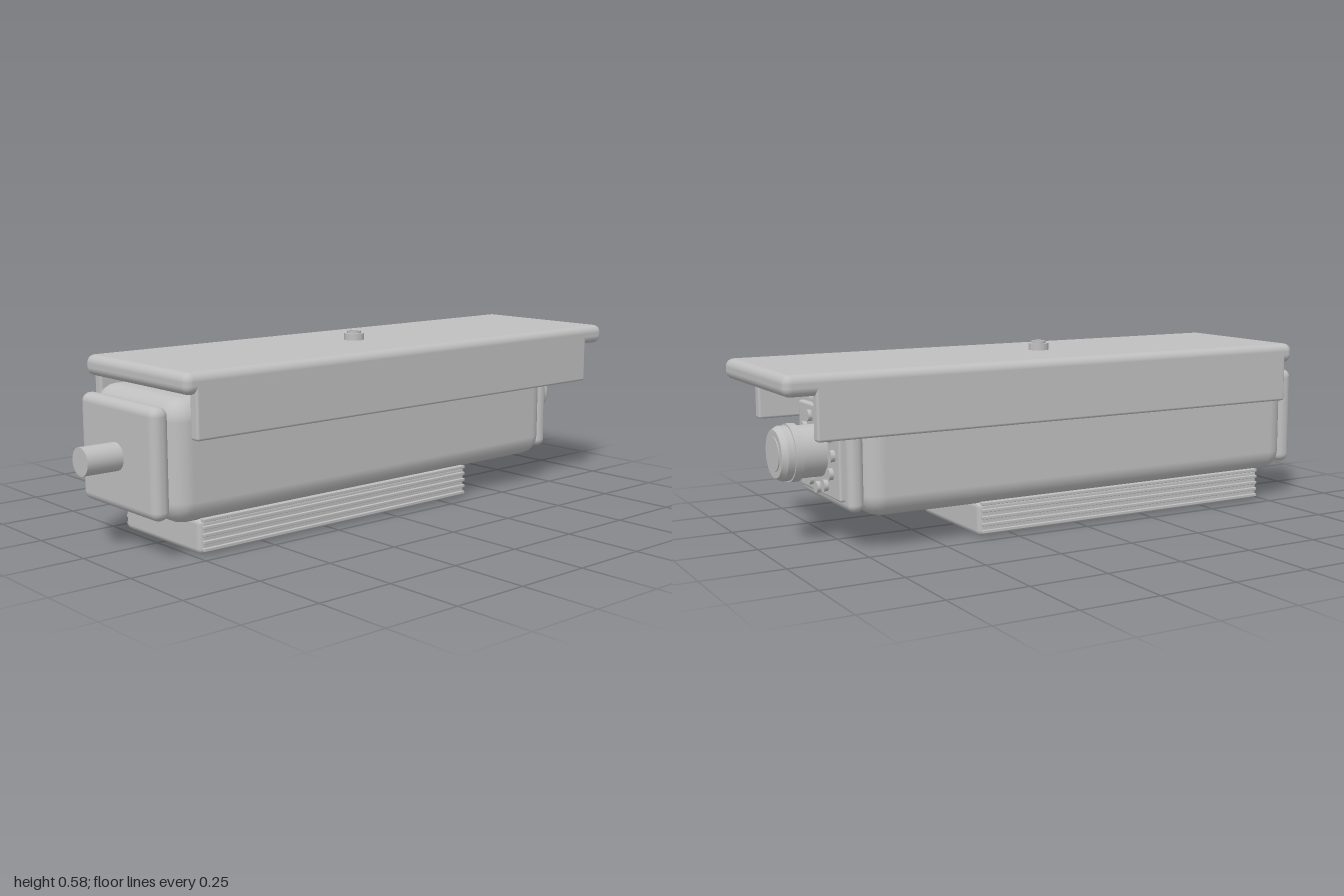
import * as THREE from 'three';
import { RoundedBoxGeometry } from 'three/addons/geometries/RoundedBoxGeometry.js';

const grey = new THREE.MeshStandardMaterial({ color: 0xbfbfbf });
grey.name = 'grey';

export function createModel() {
  const model = new THREE.Group();
  model.name = 'securityCamera';

  const add = (name, geometry) => {
    const mesh = new THREE.Mesh(geometry, grey);
    mesh.name = name;
    model.add(mesh);
    return mesh;
  };
  // rounded box given by its [min, max] range on each axis
  const box = (name, [x0, x1], [y0, y1], [z0, z1], radius, segments = 3) => {
    const g = new RoundedBoxGeometry(x1 - x0, y1 - y0, z1 - z0, segments, radius);
    g.translate((x0 + x1) / 2, (y0 + y1) / 2, (z0 + z1) / 2);
    return add(name, g);
  };
  // cylinder along z
  const rod = (name, radius, z0, z1, x = 0, y = 0.283, sides = 32) => {
    const g = new THREE.CylinderGeometry(radius, radius, z1 - z0, sides);
    g.rotateX(Math.PI / 2).translate(x, y, (z0 + z1) / 2);
    return add(name, g);
  };

  // housing with its end plates
  box('housing', [-0.226, 0.226], [0.1, 0.468], [-0.745, 0.835], 0.067);
  box('frontPlate', [-0.2, 0.2], [0.12, 0.447], [0.825, 0.883], 0.027);
  box('backPlate', [-0.2, 0.2], [0.12, 0.447], [-0.786, -0.735], 0.024);
  box('backPanel', [-0.165, 0.165], [0.15, 0.417], [-0.802, -0.77], 0.008, 2);
  rod('cableStub', 0.0425, 0.87, 1.0, 0, 0.283, 24);

  // sunshield: roof and two hanging sides
  box('roof', [-0.272, 0.272], [0.483, 0.547], [-1.0, 0.82], 0.026);
  for (const s of [-1, 1]) {
    const side = box('roofSide', [-0.018, 0.018], [0.353, 0.515], [-0.905, 0.785], 0.008, 2);
    side.position.x = s * 0.254;
  }

  // roof screw with a hollow collar
  const screw = [[0, 0.53], [0.033, 0.53], [0.033, 0.569], [0.023, 0.569],
    [0.023, 0.577], [0.017, 0.577], [0.017, 0.566], [0, 0.566]];
  const screwGeometry = new THREE.LatheGeometry(
    screw.map(([r, y]) => new THREE.Vector2(r, y)), 24).toNonIndexed();
  screwGeometry.computeVertexNormals();
  add('roofScrew', screwGeometry).position.z = -0.035;

  // mounting base with cooling fins
  box('base', [-0.2, 0.2], [0, 0.108], [-0.365, 0.735], 0.018);
  for (const y of [0.016, 0.038, 0.06, 0.082, 0.104]) {
    for (const s of [-1, 1]) {
      const fin = box('fin', [-0.01, 0.01], [y - 0.005, y + 0.005], [-0.355, 0.725], 0.002, 1);
      fin.position.x = s * 0.199;
    }
  }

  // lens barrel: stacked rings and a recessed glass
  rod('lensBarrel', 0.08, -0.885, -0.79);
  rod('lensRing', 0.088, -0.903, -0.877);
  rod('lensCollar', 0.083, -0.925, -0.9);
  const rim = new THREE.CylinderGeometry(0.083, 0.073, 0.017, 32);
  rim.rotateX(Math.PI / 2).translate(0, 0.283, -0.9335);
  add('lensRim', rim);
  rod('lensGlass', 0.053, -0.945, -0.93);

  // ring of lamps round the lens
  for (let i = 0; i < 12; i++) {
    const a = (i / 12) * Math.PI * 2;
    rod('lamp', 0.018, -0.815, -0.795, Math.cos(a) * 0.12, 0.283 + Math.sin(a) * 0.113, 12);
  }
  return model;
}
